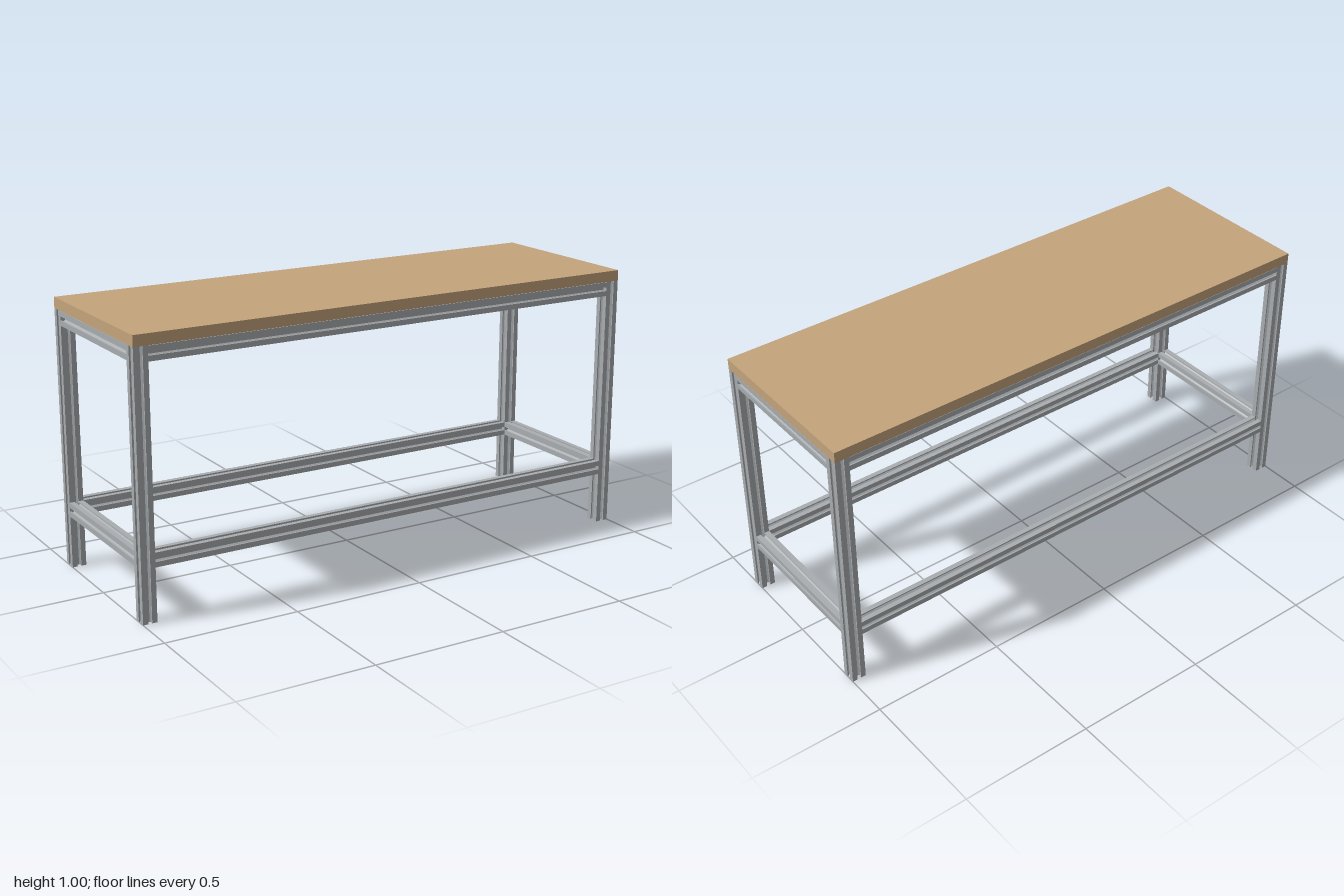
import * as THREE from 'three';

const W = 0.053, H = W / 2;          // width of the slotted profile
const TOP = 0.96, X = 1, Z = 0.333;  // underside of the top, half length, half depth

// Square T-slot section: one side, turned four times, with a bore in the core
function slotSection() {
  const side = [
    [H, -H], [H, -0.0073], [0.0215, -0.0073], [0.0215, -0.0135], [0.0175, -0.0135],
    [0.009, -0.005], [0.009, 0.005], [0.0175, 0.0135], [0.0215, 0.0135], [0.0215, 0.0073], [H, 0.0073],
  ];
  const points = [];
  for (let k = 0; k < 4; k++) {
    for (const [x, y] of side) {
      points.push(new THREE.Vector2(x, y).rotateAround(new THREE.Vector2(), k * Math.PI / 2));
    }
  }
  const shape = new THREE.Shape(points);
  shape.holes.push(new THREE.Path().absarc(0, 0, 0.0045, 0, Math.PI * 2, true));
  return shape;
}

export function createModel() {
  const wood = new THREE.MeshStandardMaterial({ color: 0xc4a47c });
  wood.name = 'wood';
  const aluminium = new THREE.MeshStandardMaterial({ color: 0xa9adb0 });
  aluminium.name = 'aluminium';

  const model = new THREE.Group();
  model.name = 'workbench';
  const section = slotSection();

  // A length of profile centred on its own middle, along the given axis
  function bar(name, length, axis, x, y, z) {
    const geometry = new THREE.ExtrudeGeometry(section, { depth: length, bevelEnabled: false, curveSegments: 8 });
    geometry.translate(0, 0, -length / 2);
    if (axis === 'x') geometry.rotateY(Math.PI / 2);
    if (axis === 'y') geometry.rotateX(-Math.PI / 2);
    const mesh = new THREE.Mesh(geometry, aluminium);
    mesh.name = name;
    mesh.position.set(x, y, z);
    model.add(mesh);
  }

  // Table top
  const top = new THREE.Mesh(new THREE.BoxGeometry(2 * X, 1 - TOP, 2 * Z), wood);
  top.name = 'tableTop';
  top.position.y = (1 + TOP) / 2;
  model.add(top);

  const legX = X - H, legZ = Z - H;
  const levels = [['upper', TOP - H - 0.001], ['lower', 0.2235]];
  for (const s of [1, -1]) {
    const lr = s > 0 ? 'left' : 'right', fb = s > 0 ? 'front' : 'back';
    // Legs
    for (const t of [1, -1]) {
      bar(`${lr}${t > 0 ? 'Front' : 'Back'}Leg`, TOP, 'y', s * legX, TOP / 2, t * legZ);
    }
    // Rails between the legs
    for (const [level, y] of levels) {
      bar(`${fb} ${level} rail`, 2 * (X - W), 'x', 0, y, s * legZ);
      bar(`${lr} ${level} rail`, 2 * (Z - W), 'z', s * legX, y, 0);
    }
  }
  return model;
}
